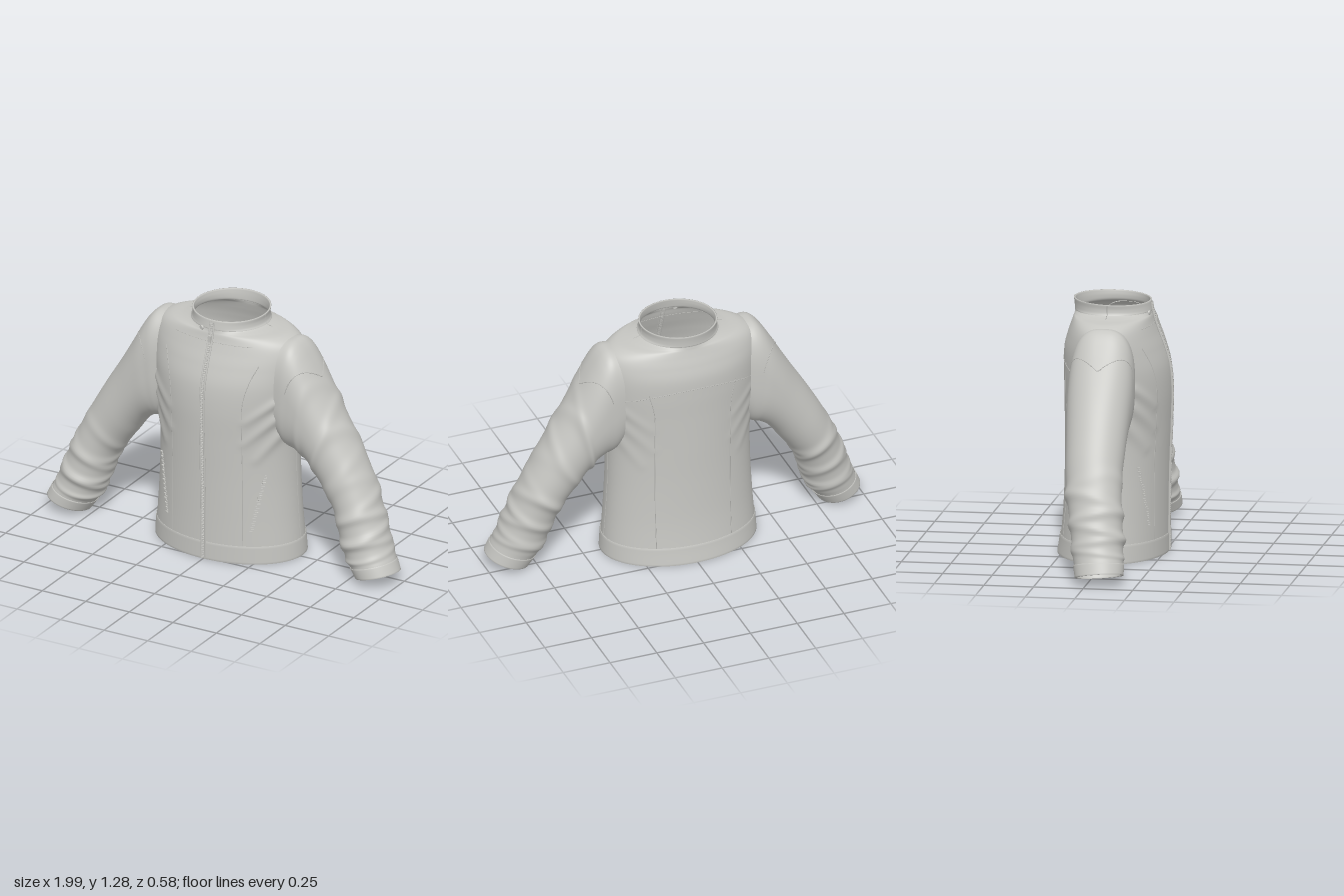
import * as THREE from 'three';
import { mergeGeometries } from 'three/addons/utils/BufferGeometryUtils.js';

// Torso sections from hem to collar: y, half width, front z, back z
const BODY = [
  [0.005, 0.402, 0.263, -0.285], [0.1, 0.396, 0.263, -0.271], [0.25, 0.385, 0.264, -0.258],
  [0.45, 0.375, 0.268, -0.252], [0.65, 0.375, 0.275, -0.252], [0.82, 0.395, 0.279, -0.253],
  [0.95, 0.41, 0.269, -0.255], [1.05, 0.415, 0.24, -0.252], [1.12, 0.41, 0.213, -0.235],
  [1.17, 0.385, 0.195, -0.218], [1.2, 0.33, 0.187, -0.208], [1.212, 0.25, 0.183, -0.205],
  [1.225, 0.2, 0.18, -0.203], [1.25, 0.19, 0.176, -0.204], [1.278, 0.193, 0.172, -0.208],
];
// Sleeve sections: outer x, y, inner x, y, front z, back z
const SLEEVE = [
  [0.34, 1.19, 0.33, 0.66, 0.15, -0.16], [0.39, 1.19, 0.355, 0.63, 0.155, -0.165],
  [0.43, 1.16, 0.38, 0.615, 0.155, -0.168], [0.475, 1.095, 0.41, 0.605, 0.155, -0.17],
  [0.53, 1.0, 0.455, 0.575, 0.15, -0.167], [0.6, 0.88, 0.495, 0.53, 0.145, -0.16],
  [0.68, 0.75, 0.53, 0.48, 0.142, -0.152], [0.76, 0.61, 0.575, 0.42, 0.14, -0.142],
  [0.83, 0.47, 0.63, 0.335, 0.148, -0.125], [0.895, 0.31, 0.67, 0.22, 0.162, -0.1],
  [0.945, 0.175, 0.715, 0.105, 0.172, -0.08], [0.965, 0.13, 0.745, 0.065, 0.176, -0.068],
  [0.99, 0.075, 0.78, 0.015, 0.178, -0.055],
];
const HEM = 1, NECK = 12, TOP = 14, CUFF = 11, END = 12, ZC = -0.015;

const table = rows => new THREE.CubicInterpolant(rows.map((_, i) => i), rows.flat(), rows[0].length);
const bodyTable = table(BODY), sleeveTable = table(SLEEVE);
const lerp = THREE.MathUtils.lerp, step = THREE.MathUtils.smoothstep;
const bump = (d, w) => Math.exp(-(d * d) / (w * w));
const power = (c, n) => Math.sign(c) * Math.pow(Math.abs(c), 2 / n);

// Chest folds as line segments running in from the armpits
const FOLDS = [[0.34, 0.88, 0.22, 0.78], [0.34, 0.79, 0.21, 0.66], [0.35, 0.7, 0.26, 0.57]];
function foldHeight(x, y) {
  let h = 0;
  for (const [x1, y1, x2, y2] of FOLDS) {
    const dx = x2 - x1, dy = y2 - y1;
    const k = THREE.MathUtils.clamp(((x - x1) * dx + (y - y1) * dy) / (dx * dx + dy * dy), 0, 1);
    h += 0.011 * (1 - 0.6 * k) * bump(Math.hypot(x - x1 - dx * k, y - y1 - dy * k), 0.022);
  }
  return h;
}

// Point on the torso; t is the section number, a the angle (0 = left, PI/2 = front)
function bodyPoint(t, a, out = 0) {
  const [y, rx, zf, zb] = bodyTable.evaluate(t);
  const c = Math.cos(a), s = Math.sin(a);
  const grow = out + (s > 0 ? 1 : 0.5) * foldHeight(Math.abs(rx * c), y);
  const z = ZC + s * ((s > 0 ? zf - ZC : ZC - zb) + grow);
  return new THREE.Vector3((rx + grow) * c, y - 0.03 * step(t, 12, TOP) * (z - ZC), z);
}

// Section number at a given height
function sectionAt(y) {
  let lo = 0, hi = TOP;
  for (let i = 0; i < 30; i++) {
    const mid = (lo + hi) / 2;
    if (bodyTable.evaluate(mid)[0] < y) lo = mid; else hi = mid;
  }
  return lo;
}

// Ridges round the sleeve: height, slant, strength, width
const LOW = [[0.45, 0.25, 0.05, 0.025], [0.375, -0.2, 0.075, 0.022], [0.305, 0.2, 0.08, 0.02],
  [0.245, -0.15, 0.085, 0.018], [0.19, 0.15, 0.085, 0.017], [0.14, -0.1, 0.07, 0.014]];
const HIGH = [[0.77, 0.3, 0.04, 0.022], [0.7, -0.25, 0.05, 0.022], [0.62, 0.3, 0.05, 0.024], [0.54, -0.2, 0.035, 0.025]];

// Point on a sleeve; a = 0 is the outer edge, PI/2 the front
function sleevePoint(side, t, a, out = 0) {
  const [ox, oy, ix, iy, zf, zb] = sleeveTable.evaluate(t);
  const n = lerp(2.7, 2.05, step(t, 1, 6)), c = power(Math.cos(a), n), s = power(Math.sin(a), n);
  const cy = (oy + iy) / 2, rz = (zf - zb) / 2, z0 = (zf + zb) / 2;
  let k = 1 + out / 0.115;
  if (t < CUFF) for (const [y, slant, amp, w] of side > 0 ? [...LOW, ...HIGH] : LOW)
    k += amp * (0.75 + 0.25 * Math.cos(a + y * 20)) * bump(cy - y - slant * rz * s, w);
  const tilt = 0.1 * step(t, 9, END) * rz * s;
  return new THREE.Vector3(side * ((ox + ix) / 2 + k * c * (ox - ix) / 2), cy + k * c * (oy - iy) / 2 + tilt, z0 + k * s * rz);
}

// Closed rings of points joined into a surface; fn(row, angle)
function loft(rows, around, fn) {
  const pos = [], index = [];
  for (let i = 0; i <= rows; i++) for (let j = 0; j < around; j++) {
    pos.push(...fn(i, j / around * Math.PI * 2).toArray());
    if (i === rows) continue;
    const a = i * around + j, b = i * around + (j + 1) % around;
    index.push(a, a + around, b, b, a + around, b + around);
  }
  const g = new THREE.BufferGeometry();
  g.setAttribute('position', new THREE.Float32BufferAttribute(pos, 3));
  g.setIndex(index);
  g.computeVertexNormals();
  return g;
}

// A band with thickness: out over the surface, round the rim and back inside
function band(point, from, to, thick) {
  const n = 8, half = n + 3;
  return loft(2 * half + 1, 128, (i, a) => {
    const inner = i > half, k = inner ? 2 * half + 1 - i : i;
    const u = THREE.MathUtils.clamp((k - 1) / (half - 2), 0, 1);
    const edge = k === 0 || k === half ? 0.4 : 1;
    return point(lerp(from, to, u), a, (inner ? -1 : 1) * thick * edge);
  });
}

export function createModel() {
  const jacket = new THREE.Group();
  jacket.name = 'jacket';
  const cloth = new THREE.MeshStandardMaterial({ color: 0xc6c6c2, side: THREE.DoubleSide });
  cloth.name = 'grey cloth';
  const add = (name, geometry) => {
    const mesh = new THREE.Mesh(geometry, cloth);
    mesh.name = name;
    jacket.add(mesh);
    return mesh;
  };
  const seam = (name, points, r = 0.0022) =>
    add(name, new THREE.TubeGeometry(new THREE.CatmullRomCurve3(points), 50, r, 4));

  // Body, hem band and standing collar
  add('body', loft(130, 160, (i, a) => bodyPoint(lerp(HEM - 0.1, NECK + 0.2, i / 130), a)));
  add('hemBand', band(bodyPoint, HEM, 0, 0.005));
  add('collar', band(bodyPoint, NECK, TOP, 0.004));

  // Point on the torso from x and y, on the front or the back
  const onBody = (x, y, front = 1, out = 0) => {
    const t = sectionAt(y), rx = bodyTable.evaluate(t)[1];
    return bodyPoint(t, front * Math.acos(THREE.MathUtils.clamp(x / rx, -1, 1)), out);
  };

  for (const side of [1, -1]) {
    const tag = side > 0 ? 'left' : 'right';
    // Sleeve, cuff and armhole seam
    add(tag + 'Sleeve', loft(150, 80, (i, a) => sleevePoint(side, lerp(0, CUFF + 0.1, i / 150), a)));
    add(tag + 'Cuff', band((t, a, o) => sleevePoint(side, t, a, o), CUFF, END, 0.005));
    seam(tag + 'ArmholeSeam', Array.from({ length: 25 }, (_, i) => {
      const a = lerp(-1.45, 1.45, i / 24);
      return sleevePoint(side, 3.9 - 1.5 * Math.abs(a), a);
    }));
    // Front and back panel seams
    const line = [[0.2, 0.1], [0.2, 0.3], [0.2, 0.5], [0.2, 0.7], [0.205, 0.88], [0.23, 0.99], [0.265, 1.08]];
    seam(tag + 'FrontSeam', line.map(([x, y]) => onBody(side * x, y)));
    seam(tag + 'BackSeam', line.slice(0, 6).map(([x, y]) => onBody(side * x, y, -1)));
    seam(tag + 'SideSeam', [0.1, 0.22, 0.34, 0.46, 0.58].map(y => onBody(side * 0.5, y)));
    seam(tag + 'ShoulderSeam', [11.3, 12, 12.6, 13.2, 13.9].map(t => bodyPoint(t, side > 0 ? 0 : Math.PI, 0.004)));
    // Slanted pocket zip with small teeth
    const teeth = [];
    for (let i = 0; i <= 26; i++) {
      const p = onBody(side * lerp(0.295, 0.24, i / 26), lerp(0.48, 0.18, i / 26));
      teeth.push(new THREE.BoxGeometry(0.016, 0.006, 0.012).rotateY(side * 0.6)
        .translate(p.x + (i % 2 ? 0.003 : -0.003), p.y, p.z));
    }
    add(tag + 'PocketZip', mergeGeometries(teeth));
  }

  // Yoke seam across the back
  seam('yokeSeam', Array.from({ length: 15 }, (_, i) => {
    const x = lerp(-0.34, 0.34, i / 14);
    return onBody(x, 1.0 - 0.5 * x * x, -1);
  }));
  // Stitching below the collar
  seam('collarStitch', Array.from({ length: 21 }, (_, i) => onBody(lerp(-0.22, 0.22, i / 20), 1.165)), 0.0015);

  // Front zip: two raised tapes and interlocking teeth
  const frontPoint = y => bodyPoint(sectionAt(y), Math.PI / 2);
  for (const side of [1, -1]) {
    const path = Array.from({ length: 30 }, (_, i) => frontPoint(lerp(0.008, 1.27, i / 29)));
    add(side > 0 ? 'leftZipTape' : 'rightZipTape', loft(29, 6, (i, a) => {
      const p = path[i];
      return new THREE.Vector3(side * 0.011 + 0.005 * Math.cos(a), p.y, p.z + 0.004 + 0.006 * Math.sin(a));
    }));
  }
  const teeth = [];
  for (let i = 0; i < 125; i++) {
    const p = frontPoint(lerp(0.012, 1.255, i / 124));
    teeth.push(new THREE.BoxGeometry(0.01, 0.005, 0.01).translate(i % 2 ? 0.002 : -0.002, p.y, p.z + 0.005));
  }
  add('zipTeeth', mergeGeometries(teeth));
  const pull = frontPoint(1.18);
  add('zipPull', new THREE.BoxGeometry(0.016, 0.035, 0.008)).position.set(0, pull.y, pull.z + 0.012);

  // Snap button on the collar
  const snap = add('snapButton', new THREE.CylinderGeometry(0.01, 0.012, 0.008, 20).rotateX(Math.PI / 2));
  snap.position.copy(onBody(-0.06, 1.22, 1, 0.005));
  snap.rotation.y = -0.3;

  return jacket;
}
